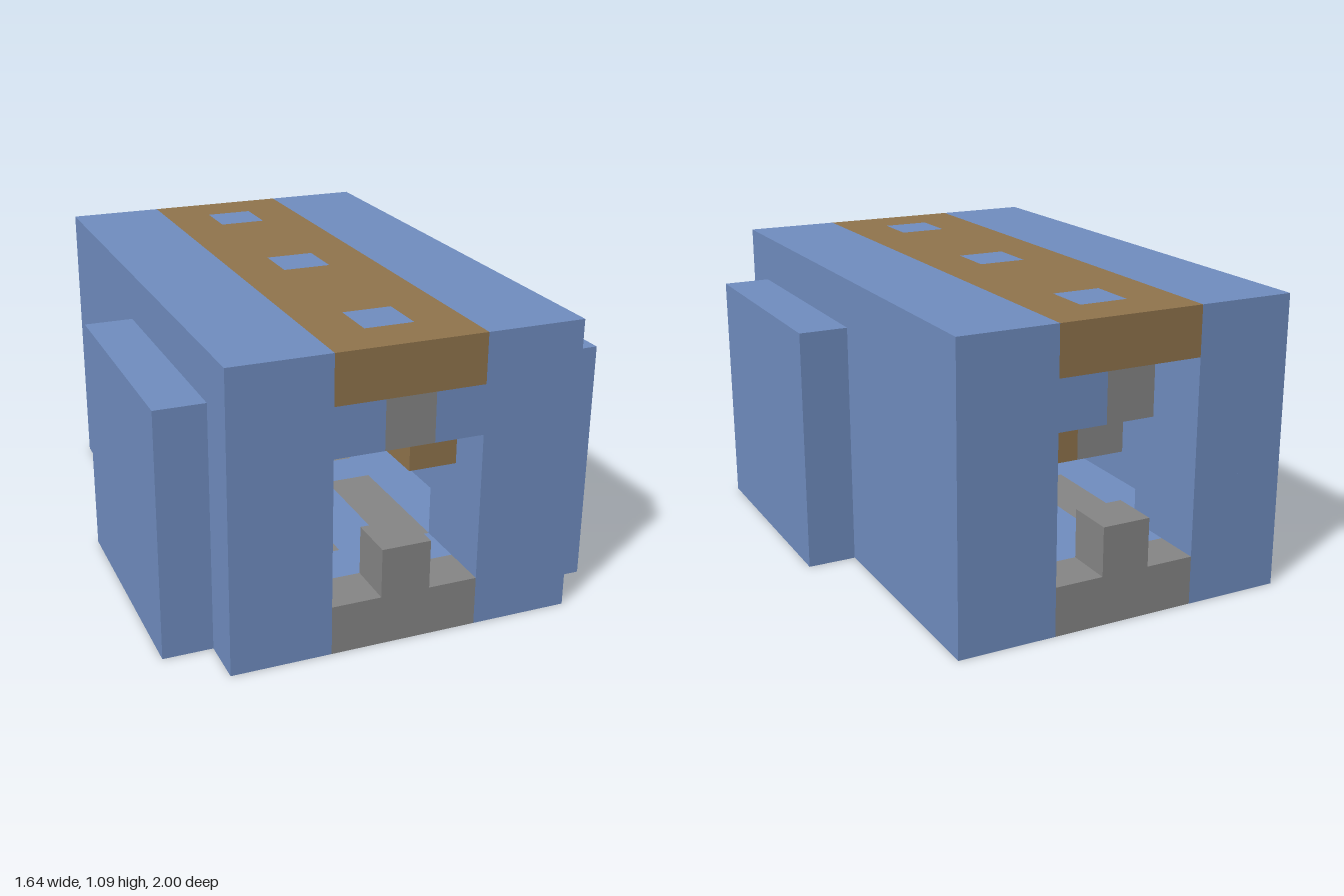
import * as THREE from 'three';

const U = 2 / 11; // size of one block

export function createModel() {
  const model = new THREE.Group();
  model.name = 'blockHull';
  const make = (name, color) => {
    const m = new THREE.MeshStandardMaterial({ color });
    m.name = name;
    return m;
  };
  const blue = make('blue', 0x708dc0);
  const brown = make('brown', 0x90744c);
  const grey = make('grey', 0x868686);

  // Box spanning whole block indices, ends included; x and z count from the centre, y from the ground.
  const block = (name, mat, [x0, x1], [y0, y1], [z0, z1]) => {
    const mesh = new THREE.Mesh(
      new THREE.BoxGeometry((x1 - x0 + 1) * U, (y1 - y0 + 1) * U, (z1 - z0 + 1) * U), mat);
    mesh.position.set((x0 + x1) / 2 * U, (y0 + y1 + 1) / 2 * U, (z0 + z1) / 2 * U);
    mesh.name = name;
    model.add(mesh);
  };

  for (const s of [-1, 1]) {
    const side = s > 0 ? 'left' : 'right';
    const end = s > 0 ? 'front' : 'back';
    const at = (i) => [s * i, s * i];
    const span = (a, b) => (s > 0 ? [a, b] : [-b, -a]);

    // Side walls, side pods and the edges of floor and roof
    block(side + 'Wall', blue, at(3), [0, 5], [-5, 5]);
    block(side + 'Pod', blue, at(4), [0, 4], [0, 4]);
    block(side + 'FloorEdge', blue, at(2), [0, 0], [-5, 5]);
    block(side + 'RoofEdge', blue, at(2), [5, 5], [-5, 5]);
    block(side + 'FrontJamb', blue, at(2), [1, 4], [4, 5]);
    block(side + 'BackJamb', blue, at(2), [1, 4], [-5, -4]);

    // Floor: grey sill with a stub at each end, grey panels beside a blue spine
    block(end + 'Sill', grey, [-1, 1], [0, 0], at(5));
    block(end + 'Stub', grey, [0, 0], [1, 1], at(5));
    block(end + 'FloorBand', blue, [-1, 1], [0, 0], at(4));
    block(end + 'FloorSpine', blue, [0, 0], [0, 0], span(1, 3));
    for (const x of [-1, 1]) block(end + 'FloorPanel', grey, [x, x], [0, 0], span(1, 3));

    // Roof: brown strip with blue squares
    block(side + 'RoofStrip', brown, at(1), [5, 5], [-5, 5]);
    block(end + 'RoofTip', brown, [0, 0], [5, 5], at(5));
    block(end + 'RoofSquare', blue, [0, 0], [5, 5], at(4));
    block(end + 'RoofMiddle', brown, [0, 0], [5, 5], span(1, 3));

    // Hanging key and brown handle inside each opening
    block(end + 'Key', grey, [0, 0], [4, 4], at(5));
    block(end + 'Handle', brown, [1, 1], [3, 3], at(4));
  }
  block('floorCentre', blue, [-1, 1], [0, 0], [0, 0]);
  block('roofSquareCentre', blue, [0, 0], [5, 5], [0, 0]);

  // Lintels above the openings; the back one is open on the right
  block('frontLintelLeft', blue, [1, 1], [4, 4], [5, 5]);
  block('frontLintelRight', blue, [-1, -1], [4, 4], [5, 5]);
  block('backLintelLeft', blue, [1, 1], [4, 4], [-5, -5]);

  // Grey grip behind the back key
  block('backGrip', grey, [0, 0], [3, 3], [-4, -4]);

  return model;
}
